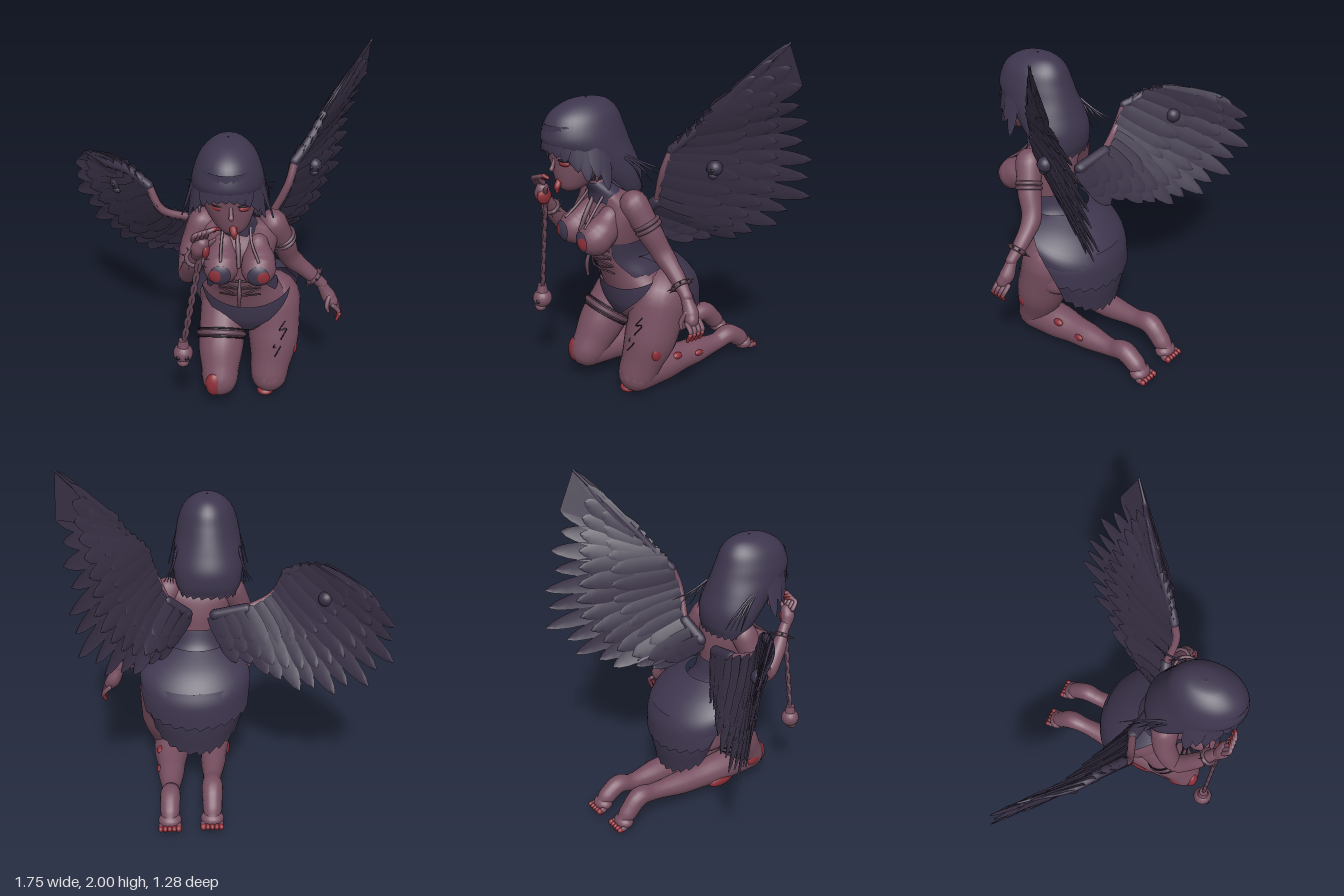
import * as THREE from 'three';
import { mergeVertices } from 'three/addons/utils/BufferGeometryUtils.js';

const V = (a) => new THREE.Vector3(a[0], a[1], a[2]);
const mat = (name, color, side = THREE.FrontSide) => {
  const m = new THREE.MeshStandardMaterial({ color, side });
  m.name = name;
  return m;
};

// Surface through rows of points
function grid(rows) {
  const pos = [], idx = [], n = rows[0].length;
  rows.forEach((r) => r.forEach((p) => pos.push(p.x, p.y, p.z)));
  for (let i = 0; i < rows.length - 1; i++) for (let j = 0; j < n - 1; j++) {
    const a = i * n + j, b = a + n;
    idx.push(a, b, a + 1, a + 1, b, b + 1);
  }
  let g = new THREE.BufferGeometry();
  g.setAttribute('position', new THREE.Float32BufferAttribute(pos, 3));
  g.setIndex(idx);
  g = mergeVertices(g);
  g.computeVertexNormals();
  return g;
}

// Elliptical sections [y, cx, cz, rx, rz, halfAngle], top to bottom; dir -1 opens at the front.
// The hem is jagged by zigzag; rise lifts the sides of the top and bottom edges.
function loft(secs, dir = 1, zigzag = 0, rise = [0, 0]) {
  const rows = [], steps = 5, cols = 40, last = secs.length - 1;
  for (let k = 0; k <= last * steps; k++) {
    const i = Math.min(Math.floor(k / steps), last - 1), t = k / steps - i;
    const at = (q) => secs[Math.max(0, Math.min(last, q))];
    const s = [0, 1, 2, 3, 4, 5].map((c) => {
      const [a, b, d, e] = [at(i - 1), at(i), at(i + 1), at(i + 2)].map((r) => r[c] ?? Math.PI);
      return b + 0.5 * t * (d - a + t * (2 * a - 5 * b + 4 * d - e + t * (3 * (b - d) + e - a)));
    });
    const hem = k === last * steps ? zigzag : 0, lift = THREE.MathUtils.lerp(rise[0], rise[1], k / (last * steps));
    rows.push(Array.from({ length: cols + 1 }, (_, j) => {
      const a = (j / cols * 2 - 1) * Math.min(s[5], Math.PI);
      const y = s[0] - hem * (j % 4) / 3 + lift * (1 - Math.cos(a));
      return V([s[1] + s[3] * Math.sin(a), y, s[2] + dir * s[4] * Math.cos(a)]);
    }));
  }
  return grid(rows);
}

// Round-ended limb through points [x, y, z, radius]
function limb(pts, sides = 14) {
  const curve = new THREE.CatmullRomCurve3(pts.map(V)), n = (pts.length - 1) * 5, rings = [];
  for (let k = 0; k <= n; k++) {
    const u = k / n, f = u * (pts.length - 1), i = Math.min(Math.floor(f), pts.length - 2);
    const t = THREE.MathUtils.smoothstep(f - i, 0, 1), r = pts[i][3] * (1 - t) + pts[i + 1][3] * t;
    const c = curve.getPoint(u), T = curve.getTangent(u);
    const cap = (sign, q) => rings.push({ c: c.clone().addScaledVector(T, sign * r * Math.cos(q)), T, r: r * Math.sin(q) });
    if (k === 0) for (let q = 0; q < 4; q++) cap(-1, q * Math.PI / 8);
    rings.push({ c, T, r });
    if (k === n) for (let q = 3; q >= 0; q--) cap(1, q * Math.PI / 8);
  }
  let N = Math.abs(rings[0].T.x) > 0.8 ? V([0, 1, 0]) : V([1, 0, 0]);
  return grid(rings.map(({ c, T, r }) => {
    N = N.clone().addScaledVector(T, -N.dot(T)).normalize();
    const B = T.clone().cross(N);
    return Array.from({ length: sides + 1 }, (_, j) => {
      const a = -j / sides * Math.PI * 2;
      return c.clone().addScaledVector(N, r * Math.cos(a)).addScaledVector(B, r * Math.sin(a));
    });
  }));
}

// Leaf-shaped feather or hair lock with a raised middle
function feather(base, tip, across, normal, half) {
  return grid([0, 0.2, 0.45, 0.7, 0.84, 0.94, 1].map((s, i) => {
    const w = half * [0.8, 0.95, 1, 0.95, 0.75, 0.45, 0.06][i], c = base.clone().lerp(tip, s);
    return [-1, 0, 1].map((k) => c.clone().addScaledVector(across, k * w).addScaledVector(normal, k ? 0 : 0.007));
  }));
}

export function createModel() {
  const root = new THREE.Group();
  const skin = mat('skin', 0x774f60), dark = mat('darkCloth', 0x3e364e, THREE.DoubleSide);
  const plume = mat('plumage', 0x393146, THREE.DoubleSide), red = mat('red', 0x8c2f38);
  const black = mat('outlineDark', 0x241e2c), trim = mat('trim', 0x624454);
  const add = (name, geo, m, parent = root) => {
    const mesh = new THREE.Mesh(geo, m);
    mesh.name = name;
    parent.add(mesh);
    return mesh;
  };
  const ball = (name, p, s, m, ry = 0) => {
    const b = add(name, new THREE.SphereGeometry(1, 18, 12), m);
    b.position.set(...p); b.scale.set(...s); b.rotation.y = ry;
  };
  const ring = (name, p, dir, r, tube, m, spikes = 0) => {
    const g = new THREE.Group();
    g.name = name;
    add(name + 'Ring', new THREE.TorusGeometry(r, tube, 8, 28), m, g);
    for (let i = 0; i < spikes; i++) {
      const a = i / spikes * Math.PI * 2, c = add('spike', new THREE.ConeGeometry(0.009, 0.04, 6), m, g);
      c.position.set(Math.cos(a) * (r + 0.02), Math.sin(a) * (r + 0.02), 0);
      c.rotation.z = a - Math.PI / 2;
    }
    g.position.set(...p);
    g.quaternion.setFromUnitVectors(V([0, 0, 1]), V(dir).normalize());
    root.add(g);
  };

  // Torso, chest and clothing
  add('torso', loft([[1.25, 0.16, 0.36, 0.055, 0.055], [1.18, 0.17, 0.29, 0.1, 0.07], [1.12, 0.17, 0.25, 0.22, 0.1],
    [1, 0.18, 0.26, 0.2, 0.14], [0.88, 0.19, 0.25, 0.165, 0.14], [0.8, 0.19, 0.22, 0.165, 0.15], [0.72, 0.2, 0.16, 0.2, 0.17],
    [0.6, 0.225, 0.08, 0.275, 0.21], [0.5, 0.235, 0.05, 0.28, 0.21], [0.4, 0.23, 0.02, 0.24, 0.17], [0.34, 0.22, 0, 0.01, 0.01]]), skin);
  for (const k of [-1, 1]) {
    const x = 0.19 + k * 0.1;
    add('chest', limb([[x - k * 0.01, 1.06, 0.33, 0.06], [x, 0.99, 0.39, 0.09], [x, 0.96, 0.43, 0.095]], 20), skin);
    // Cup with a red patch
    const cup = (name, r, angle, m, turn) => {
      const c = add(name, new THREE.SphereGeometry(r, 20, 8, 0, Math.PI * 2, 0, angle), m);
      c.position.set(x, 0.957, 0.434);
      c.rotation.set(Math.PI / 2, 0, turn);
    };
    cup('topCup', 0.099, 0.62, dark, 0);
    cup('redPatch', 0.102, 0.34, red, -k * 0.3);
    add('topStrap', limb([[0.17 + k * 0.07, 1.19, 0.33, 0.008], [0.17 + k * 0.08, 1.1, 0.405, 0.008], [x, 1.03, 0.49, 0.008]], 8), trim);
  }
  add('pendant', limb([[0.17, 1.14, 0.37, 0.012], [0.18, 1.06, 0.42, 0.014], [0.185, 0.98, 0.46, 0.01]], 8), trim);
  add('collar', loft([[1.24, 0.16, 0.355, 0.066, 0.066], [1.18, 0.17, 0.3, 0.105, 0.08], [1.13, 0.17, 0.275, 0.12, 0.1]], 1, 0.02), dark);
  add('corset', loft([[0.92, 0.19, 0.25, 0.18, 0.15, 2.35], [0.82, 0.19, 0.225, 0.174, 0.158, 2.3], [0.73, 0.2, 0.165, 0.205, 0.18, 2.1]], -1, 0.015), dark);
  for (let i = 0; i < 3; i++) for (const k of [-1, 1]) {
    const y = 0.87 - i * 0.05, z = 0.385 - i * 0.012;
    add('lace', limb([[0.19 - k * 0.11, y, z - 0.03, 0.005], [0.19, y - 0.02, z + 0.01, 0.005], [0.19 + k * 0.11, y - 0.04, z - 0.04, 0.005]], 6), trim);
  }
  add('tassel', limb([[0.19, 0.86, 0.4, 0.008], [0.19, 0.78, 0.425, 0.012], [0.19, 0.71, 0.42, 0.008]], 8), trim);
  add('briefs', loft([[0.635, 0.22, 0.11, 0.272, 0.205, 1.2], [0.59, 0.225, 0.085, 0.285, 0.225, 0.85], [0.52, 0.225, 0.07, 0.29, 0.225, 0.45],
    [0.45, 0.22, 0.05, 0.28, 0.21, 0.14]], 1, 0, [0.12, 0]), dark);
  add('skirt', loft([[0.83, 0.19, 0.18, 0.185, 0.175, 1.75], [0.73, 0.2, 0.11, 0.26, 0.25, 1.65], [0.6, 0.205, 0.06, 0.325, 0.295, 1.45],
    [0.44, 0.2, 0.03, 0.325, 0.27, 1.25], [0.27, 0.2, 0.02, 0.28, 0.23, 1.1]], -1, 0.025, [0, 0.24]), dark);
  add('skirtTier', loft([[0.66, 0.205, 0.075, 0.312, 0.288, 1.3], [0.58, 0.205, 0.055, 0.335, 0.298, 1.25], [0.46, 0.2, 0.03, 0.333, 0.28, 1.15]], -1, 0.025, [0, 0.1]), dark);

  // Kneeling legs: thigh, shin, foot and toes
  const legs = [
    { side: 'right', thigh: [[0.1, 0.56, 0.12, 0.14], [0.085, 0.36, 0.26, 0.132], [0.085, 0.19, 0.365, 0.105]],
      shin: [[0.085, 0.18, 0.37, 0.1], [0.09, 0.17, 0.15, 0.095], [0.1, 0.165, -0.1, 0.076], [0.11, 0.185, -0.36, 0.052], [0.11, 0.195, -0.46, 0.06], [0.11, 0.12, -0.54, 0.055], [0.112, 0.065, -0.59, 0.04]] },
    { side: 'left', thigh: [[0.375, 0.56, 0.07, 0.165], [0.39, 0.36, 0.13, 0.15], [0.37, 0.13, 0.21, 0.112]],
      shin: [[0.37, 0.115, 0.215, 0.108], [0.36, 0.115, 0.06, 0.105], [0.355, 0.115, -0.15, 0.08], [0.35, 0.12, -0.37, 0.052], [0.35, 0.145, -0.46, 0.058], [0.35, 0.1, -0.54, 0.055], [0.35, 0.055, -0.59, 0.04]] }];
  for (const { side, thigh, shin } of legs) {
    add(side + 'Thigh', limb(thigh, 22), skin);
    add(side + 'Shin', limb(shin, 18), skin);
    const [x, y] = shin[6];
    ball(side + 'Foot', [x, y + 0.005, -0.575], [0.066, 0.042, 0.055], skin);
    for (let i = 0; i < 5; i++) {
      const tx = x + (i - 2) * 0.025, r = i === (side === 'left' ? 0 : 4) ? 0.017 : 0.014;
      ball(side + 'Toe', [tx, y - 0.012, -0.61], [r, r + 0.003, 0.03], skin);
      ball(side + 'ToeTip', [tx, y - 0.013, -0.632], [r + 0.001, r + 0.003, 0.02], red);
    }
  }
  ring('thighBand', [0.085, 0.4, 0.235], [0, -0.8, 0.6], 0.131, 0.015, trim);
  for (const k of [-1, 1]) ring('thighBandEdge', [0.085, 0.4 + k * 0.02, 0.235 - k * 0.014], [0, -0.8, 0.6], 0.135, 0.005, black);
  ball('kneeMark', [0.055, 0.185, 0.435], [0.05, 0.075, 0.038], red);
  ball('kneeMark', [-0.005, 0.19, 0.34], [0.02, 0.04, 0.05], red);
  ball('thighMark', [0.51, 0.29, 0.18], [0.02, 0.042, 0.035], red);
  ball('shinMark', [0.425, 0.17, -0.02], [0.02, 0.022, 0.035], red);
  ball('shinMark', [0.425, 0.14, -0.18], [0.014, 0.018, 0.03], red);
  ball('shinMark', [0.025, 0.12, 0.1], [0.03, 0.04, 0.09], red);
  ball('kneeMark', [0.35, 0.03, 0.26], [0.05, 0.025, 0.05], red);
  for (const [x, y, z] of [[0.43, 0.58, 0.212], [0.45, 0.5, 0.238], [0.42, 0.4, 0.264]]) {
    add('thighScratch', limb([[x, y, z, 0.003], [x - 0.03, y - 0.05, z + 0.021, 0.003], [x + 0.01, y - 0.04, z + 0.009, 0.003], [x - 0.02, y - 0.1, z + 0.038, 0.003]], 6), black);
  }

  // Arms and hands
  add('leftArm', limb([[0.36, 1.13, 0.23, 0.08], [0.42, 1, 0.18, 0.068], [0.47, 0.86, 0.12, 0.058], [0.56, 0.77, 0.1, 0.046], [0.66, 0.68, 0.1, 0.032]]), skin);
  add('rightArm', limb([[-0.02, 1.13, 0.23, 0.08], [-0.075, 1, 0.26, 0.068], [-0.095, 0.87, 0.34, 0.056], [-0.07, 0.97, 0.45, 0.048], [-0.03, 1.1, 0.54, 0.032]]), skin);
  add('leftPalm', limb([[0.66, 0.67, 0.1, 0.032], [0.7, 0.6, 0.1, 0.043], [0.72, 0.57, 0.11, 0.038]]), skin);
  add('rightPalm', limb([[-0.03, 1.1, 0.55, 0.032], [-0.015, 1.15, 0.575, 0.043], [0, 1.18, 0.58, 0.038]]), skin);
  ball('redPalm', [0.018, 1.145, 0.58], [0.022, 0.045, 0.042], red);
  for (let i = 0; i < 4; i++) {
    const z = 0.065 + i * 0.026, x = -0.045 + i * 0.022, y = 1.2 + i * 0.008;
    add('leftFinger', limb([[0.725, 0.56, z, 0.014], [0.757, 0.53, z, 0.013], [0.765, 0.505, z + 0.008, 0.011]], 8), skin);
    add('leftFingertip', limb([[0.765, 0.51, z + 0.008, 0.013], [0.752, 0.475, z + 0.015, 0.009]], 8), red);
    add('rightFinger', limb([[x, y, 0.585, 0.014], [x + 0.01, y + 0.04, 0.615, 0.013], [x + 0.045, y + 0.055, 0.605, 0.011]], 8), skin);
    add('rightFingertip', limb([[x + 0.045, y + 0.055, 0.605, 0.012], [x + 0.065, y + 0.045, 0.59, 0.009]], 8), red);
  }
  add('leftThumb', limb([[0.7, 0.61, 0.13, 0.015], [0.69, 0.56, 0.155, 0.013], [0.7, 0.53, 0.16, 0.009]], 8), skin);
  add('rightThumb', limb([[0.01, 1.15, 0.57, 0.015], [0.045, 1.19, 0.585, 0.013], [0.065, 1.21, 0.59, 0.009]], 8), skin);
  ring('leftBracelet', [0.61, 0.725, 0.1], [0.75, -0.66, 0], 0.045, 0.013, trim, 9);
  ring('rightBracelet', [-0.045, 1.05, 0.51], [0.25, 0.8, 0.5], 0.043, 0.012, trim, 9);
  for (const k of [-1, 1]) ring('armBand', [0.418 + k * 0.004, 1.02 - k * 0.012, 0.183 - k * 0.004], [0.4, -0.85, -0.33], 0.067, 0.012, trim);

  // Hanging cord and skull charms
  const skull = (name, [x, y, z], r, m) => {
    ball(name, [x, y, z], [r, r, r], m);
    ball(name + 'Jaw', [x, y - r * 0.9, z + r * 0.25], [r * 0.62, r * 0.5, r * 0.6], m);
    for (const k of [-1, 1]) ball(name + 'Socket', [x + k * r * 0.4, y - r * 0.1, z + r * 0.78], [r * 0.25, r * 0.25, r * 0.2], black);
  };
  for (const k of [-1, 1]) add('cord', limb(Array.from({ length: 9 }, (_, i) => {
    const t = i / 8, w = k * (i % 2 ? 1 : -1) * 0.009;
    return [-0.01 - 0.095 * t + w, 1.1 - 0.56 * t, 0.56 - 0.01 * t, 0.011];
  }), 8), trim);
  skull('hangingSkull', [-0.108, 0.48, 0.55], 0.055, skin);
  add('skullMount', new THREE.CylinderGeometry(0.025, 0.035, 0.05, 12), skin).position.set(-0.107, 0.54, 0.55);
  skull('wingSkull', [0.59, 1.33, -0.12], 0.042, plume);
  skull('wingSkull', [-0.54, 1.2, -0.1], 0.045, plume);

  // Head and face
  add('head', loft([[1.57, 0.12, 0.39, 0.01, 0.01], [1.54, 0.12, 0.39, 0.12, 0.14], [1.46, 0.13, 0.42, 0.145, 0.17], [1.38, 0.13, 0.43, 0.143, 0.155],
    [1.3, 0.14, 0.455, 0.115, 0.12], [1.23, 0.15, 0.48, 0.07, 0.075], [1.195, 0.15, 0.5, 0.004, 0.004]]), skin);
  add('nose', limb([[0.145, 1.39, 0.578, 0.009], [0.147, 1.35, 0.593, 0.011], [0.148, 1.335, 0.6, 0.013]], 8), skin);
  for (const k of [-1, 1]) {
    const x = 0.143 + k * 0.07, ry = k * 0.5;
    ball('eye', [x, 1.375, 0.56], [0.032, 0.015, 0.014], red, ry);
    ball('upperLid', [x, 1.39, 0.562], [0.038, 0.006, 0.014], black, ry);
    ball('ear', [0.13 + k * 0.145, 1.36, 0.41], [0.018, 0.045, 0.028], skin);
    ball('earring', [0.13 + k * 0.155, 1.29, 0.41], [0.009, 0.02, 0.009], trim);
  }
  ball('mouth', [0.153, 1.272, 0.555], [0.034, 0.024, 0.016], red);
  add('tongue', limb([[0.155, 1.265, 0.56, 0.019], [0.162, 1.24, 0.578, 0.018], [0.165, 1.215, 0.58, 0.009]], 10), red);

  // Hair shell, fringe, side locks and loose strands
  add('hair', loft([[1.68, 0.12, 0.37, 0.004, 0.004], [1.667, 0.12, 0.37, 0.075, 0.11], [1.61, 0.12, 0.385, 0.14, 0.19], [1.53, 0.12, 0.39, 0.175, 0.228],
    [1.46, 0.12, 0.375, 0.19, 0.24, 3.1], [1.38, 0.12, 0.31, 0.2, 0.205, 2.3], [1.28, 0.12, 0.245, 0.205, 0.175, 2.1], [1.19, 0.12, 0.2, 0.19, 0.13, 1.9], [1.14, 0.12, 0.165, 0.16, 0.08, 1.7]], -1, 0.02), dark);
  const lock = (a, bottom, flare, half) => {
    const n = V([Math.sin(a), 0, Math.cos(a)]), p = (y, f) => V([0.12 + (0.186 + f) * n.x, y, 0.378 + (0.24 + f * 0.3) * n.z]);
    add('hairLock', feather(p(1.57, -0.035), p(bottom, flare), V([n.z, 0, -n.x]), n, half), dark);
  };
  for (let i = -4; i <= 4; i++) lock(i * 0.22, 1.425 - 0.004 * i * i, 0.004, 0.036);
  for (const k of [-1, 1]) for (let i = 0; i < 4; i++) {
    lock(k * (0.95 + i * 0.2), [1.34, 1.29, 1.31, 1.24][i], 0.015 + i * 0.012, 0.036);
    const x = 0.12 + k * 0.175;
    add('looseStrand', limb([[x, 1.42, 0.3, 0.008], [x + k * 0.03, 1.32, 0.2 - i * 0.03, 0.006], [x + k * (0.03 + 0.015 * i), 1.2 + i * 0.025, 0.15 - i * 0.05, 0.002]], 6), dark);
  }

  // Wings: feathers fan from an arm curve to a tip curve, in layers on both faces
  const wing = (side, arm, tips) => {
    const g = new THREE.Group();
    g.name = side + 'Wing';
    root.add(g);
    const A = new THREE.CatmullRomCurve3(arm.map(V)), B = new THREE.CatmullRomCurve3(tips.map(V));
    for (const [count, len, off] of [[15, 1, 0], [15, 0.74, 0.012], [15, 0.74, -0.012], [14, 0.48, 0.02], [14, 0.48, -0.02]]) {
      for (let i = 0; i < count; i++) {
        const t = i / (count - 1), base = A.getPointAt(t), end = B.getPointAt(t);
        const d = end.clone().sub(base).normalize(), w = B.getTangentAt(t);
        w.addScaledVector(d, -w.dot(d)).normalize();
        const n = d.clone().cross(w), reach = len === 1 ? 1 - 0.06 * (i % 2) : len;
        const tip = base.clone().lerp(end, reach).addScaledVector(n, off * 0.6);
        const half = t === 1 ? 0.03 : 0.058;
        add('feather', feather(base.addScaledVector(n, off), tip, w, n.multiplyScalar(off < 0 ? -1 : 1), half), plume, g);
      }
    }
    // Broad blunt blade at the wing end
    const [a, b, c, d] = [arm[4], arm[5], tips[7], tips[8]].map(V);
    add('wingBlade', grid([0, 0.5, 1].map((k) => [a, b.clone().lerp(a, k * 0.5), d.clone().lerp(c, k)])), plume, g);
    // Fleshy inner edge and feathered outer edge
    add('wingRoot', limb(arm.slice(0, 2).map((p) => [...p, 0.035])), plume, g);
    add('wingInnerEdge', limb(arm.slice(1, 4).map((p) => [...p, 0.022])), skin, g);
    add('wingOuterEdge', limb([...arm.slice(3).map((p) => [...p, 0.027]), [...tips[tips.length - 1], 0.006]]), plume, g);
  };
  wing('left', [[0.25, 1.02, 0.12], [0.36, 1.12, 0.08], [0.44, 1.31, 0.1], [0.47, 1.43, 0.07], [0.55, 1.53, 0], [0.65, 1.69, -0.11]],
    [[0.4, 0.85, -0.14], [0.5, 0.86, -0.3], [0.6, 0.89, -0.42], [0.71, 1.01, -0.57], [0.8, 1.18, -0.655], [0.81, 1.36, -0.6], [0.83, 1.55, -0.54], [0.875, 1.78, -0.43], [0.875, 2, -0.325]]);
  wing('right', [[0.08, 1.02, 0.1], [-0.1, 1.07, 0.07], [-0.26, 1.14, 0.12], [-0.33, 1.28, 0.11], [-0.45, 1.335, 0.03], [-0.57, 1.335, -0.06]],
    [[-0.04, 0.77, -0.03], [-0.17, 0.76, -0.1], [-0.29, 0.71, -0.18], [-0.45, 0.69, -0.26], [-0.67, 0.75, -0.37], [-0.81, 0.87, -0.43], [-0.885, 1.03, -0.455], [-0.85, 1.2, -0.42], [-0.76, 1.3, -0.3]]);
  return root;
}
